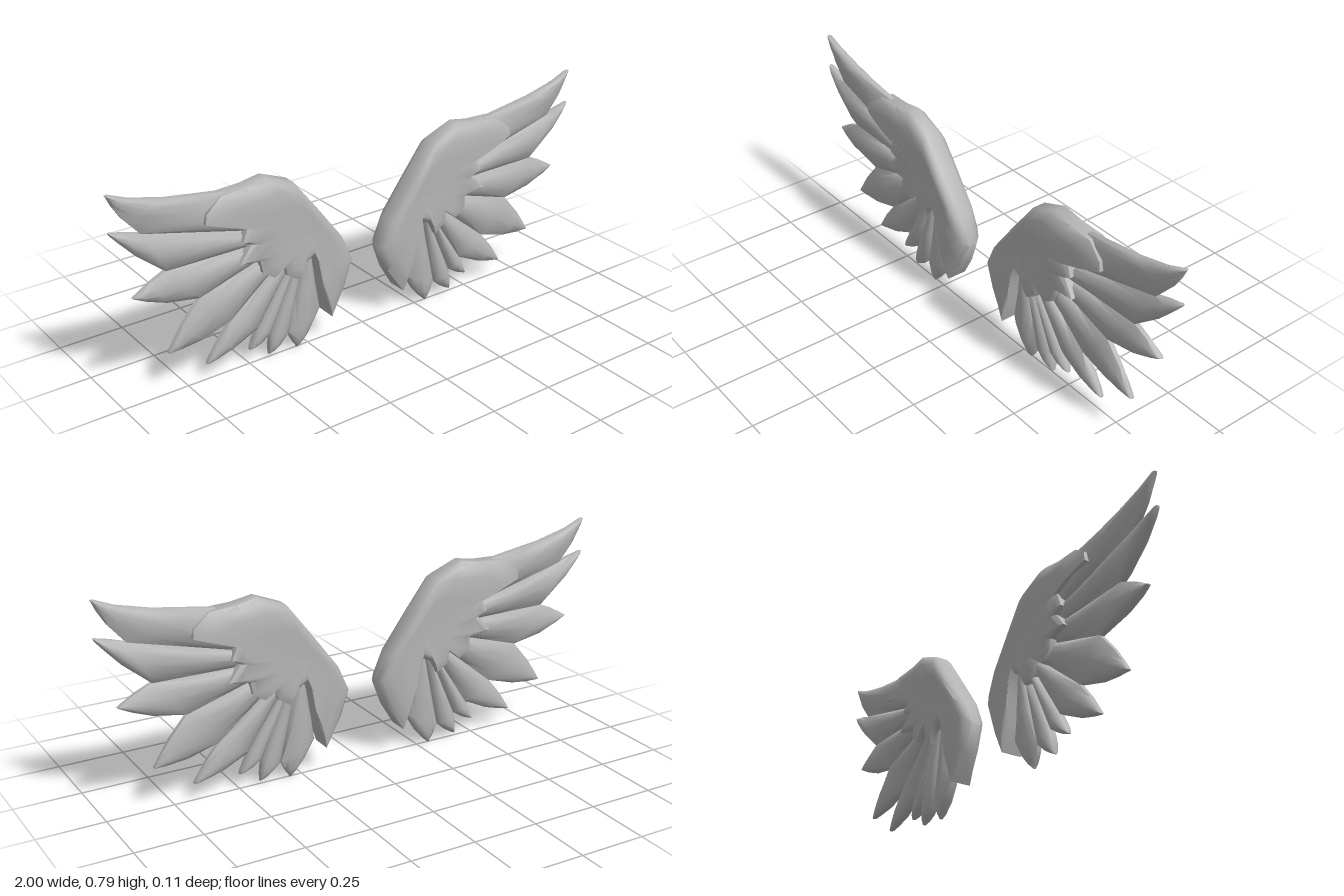
import * as THREE from 'three';
import { toCreasedNormals } from 'three/addons/utils/BufferGeometryUtils.js';

const CENTER = [0.25, 0.47];
const lerp = (a, b, t) => a.map((v, i) => v + (b[i] - v) * t);

// Skin closed rings of [x, y, z] points, cap both ends, and face the surface outward
function loft(rings, side, crease) {
  const n = rings[0].length, pts = rings.flat().map(([x, y, z]) => [x * side, y, z]);
  let tris = [];
  for (let r = 0; r < rings.length - 1; r++) {
    for (let i = 0; i < n; i++) {
      const a = r * n + i, b = r * n + (i + 1) % n;
      tris.push([a, b, b + n], [a, b + n, a + n]);
    }
  }
  const last = (rings.length - 1) * n;
  for (let i = 1; i < n - 1; i++) tris.push([0, i + 1, i], [last, last + i, last + i + 1]);
  const v = (i) => new THREE.Vector3(...pts[i]);
  const volume = tris.reduce((s, [a, b, c]) => s + v(a).dot(v(b).cross(v(c))), 0);
  if (volume < 0) tris = tris.map(([a, b, c]) => [a, c, b]);
  const g = new THREE.BufferGeometry();
  g.setAttribute('position', new THREE.Float32BufferAttribute(pts.flat(), 3));
  g.setIndex(tris.flat());
  return toCreasedNormals(g, crease);
}

// Lens-shaped section between two edge points
function section(a, b, h) {
  const us = [0, 0.2, 0.5, 0.8, 1], hs = [0.3, 0.8, 1, 0.8, 0.3];
  const front = us.map((u, i) => [...lerp(a, b, u), h * hs[i]]);
  return [...front, ...front.map(([x, y, z]) => [x, y, -z]).reverse()];
}

// Notches between the flight feathers, from the leading edge round to the body
const notches = [[0.57, 0.7], [0.89, 0.635], [0.81, 0.475], [0.69, 0.335], [0.575, 0.205],
  [0.465, 0.14], [0.41, 0.105], [0.335, 0.075], [0.2, 0.135]];
// Feather tips, with the outward swell of the upper and lower edge
const tips = [[1, 0.795, -0.015, 0.012], [1, 0.665, 0.003, 0.012], [0.935, 0.41, 0.005, 0.016],
  [0.82, 0.16, 0.008, 0.014], [0.675, 0.065, 0.006, 0.012], [0.5, 0.06, 0.002, 0.006],
  [0.42, 0.015, 0.004, 0.006], [0.3, 0.003, 0.004, 0.01]];

function featherGeometry(i, side) {
  const [tx, ty, swellA, swellB] = tips[i], tip = [tx, ty];
  const a = notches[i], b = notches[i + 1];
  const base = lerp(a, b, 0.5);
  const dx = tx - base[0], dy = ty - base[1], len = Math.hypot(dx, dy);
  const across = [-dy / len, dx / len];
  const shift = (p, d) => [p[0] + across[0] * d, p[1] + across[1] * d];
  const back = shift(tip, 0).map((v, k) => v - [dx, dy][k] / len * 0.008);
  return loft([
    section(lerp(a, CENTER, 0.75), lerp(b, CENTER, 0.75), 0.028),
    section(lerp(a, CENTER, 0.35), lerp(b, CENTER, 0.35), 0.03),
    section(a, b, 0.03),
    section(shift(lerp(a, tip, 0.5), swellA), shift(lerp(b, tip, 0.5), -swellB), 0.026),
    section(shift(lerp(a, tip, 0.8), swellA * 0.7), shift(lerp(b, tip, 0.8), -swellB * 0.7), 0.018),
    section(shift(back, 0.006), shift(back, -0.006), 0.011),
    section(shift(tip, 0.001), shift(tip, -0.001), 0.006),
  ], side, 1.0);
}

// Covert outline: x, y and half thickness at the edge
const covert = [[0.165, 0.1, 0.04], [0.1, 0.2, 0.025], [0.06, 0.3, 0.018], [0.105, 0.4, 0.022],
  [0.21, 0.54, 0.025], [0.31, 0.67, 0.025], [0.42, 0.715, 0.022], [0.5, 0.7, 0.025], [0.6, 0.695, 0.028],
  [0.665, 0.65, 0.042], [0.67, 0.615, 0.044], [0.59, 0.605, 0.036], [0.5, 0.57, 0.034],
  [0.53, 0.51, 0.043], [0.495, 0.49, 0.036], [0.545, 0.43, 0.045], [0.46, 0.415, 0.035],
  [0.455, 0.37, 0.042], [0.41, 0.34, 0.044], [0.37, 0.375, 0.034], [0.355, 0.33, 0.042],
  [0.31, 0.3, 0.044], [0.285, 0.35, 0.035], [0.245, 0.37, 0.034], [0.215, 0.3, 0.034], [0.205, 0.21, 0.034]];

function covertGeometry(side) {
  const ring = (s, z, mix) => covert.map(([x, y, e]) =>
    [...lerp(CENTER, [x, y], s), z + (e - z) * mix]);
  const front = [ring(0.02, 0.05, 0), ring(0.5, 0.052, 0), ring(0.78, 0.055, 0.08), ring(0.92, 0.054, 0.45), ring(1, 0, 1)];
  const rear = front.map((r) => r.map(([x, y, z]) => [x, y, -z])).reverse();
  return loft([...front, ...rear], side, 0.9);
}

export function createModel() {
  const model = new THREE.Group();
  model.name = 'wings';
  const grey = new THREE.MeshStandardMaterial({ color: 0xb4b4b4 });
  grey.name = 'feather grey';
  for (const [side, label] of [[1, 'left'], [-1, 'right']]) {
    const wing = new THREE.Group();
    wing.name = label + 'Wing';
    const add = (geometry, name) => {
      const mesh = new THREE.Mesh(geometry, grey);
      mesh.name = name;
      wing.add(mesh);
    };
    tips.forEach((_, i) => add(featherGeometry(i, side), 'flightFeather' + (i + 1)));
    add(covertGeometry(side), 'covertFeathers');
    model.add(wing);
  }
  return model;
}
